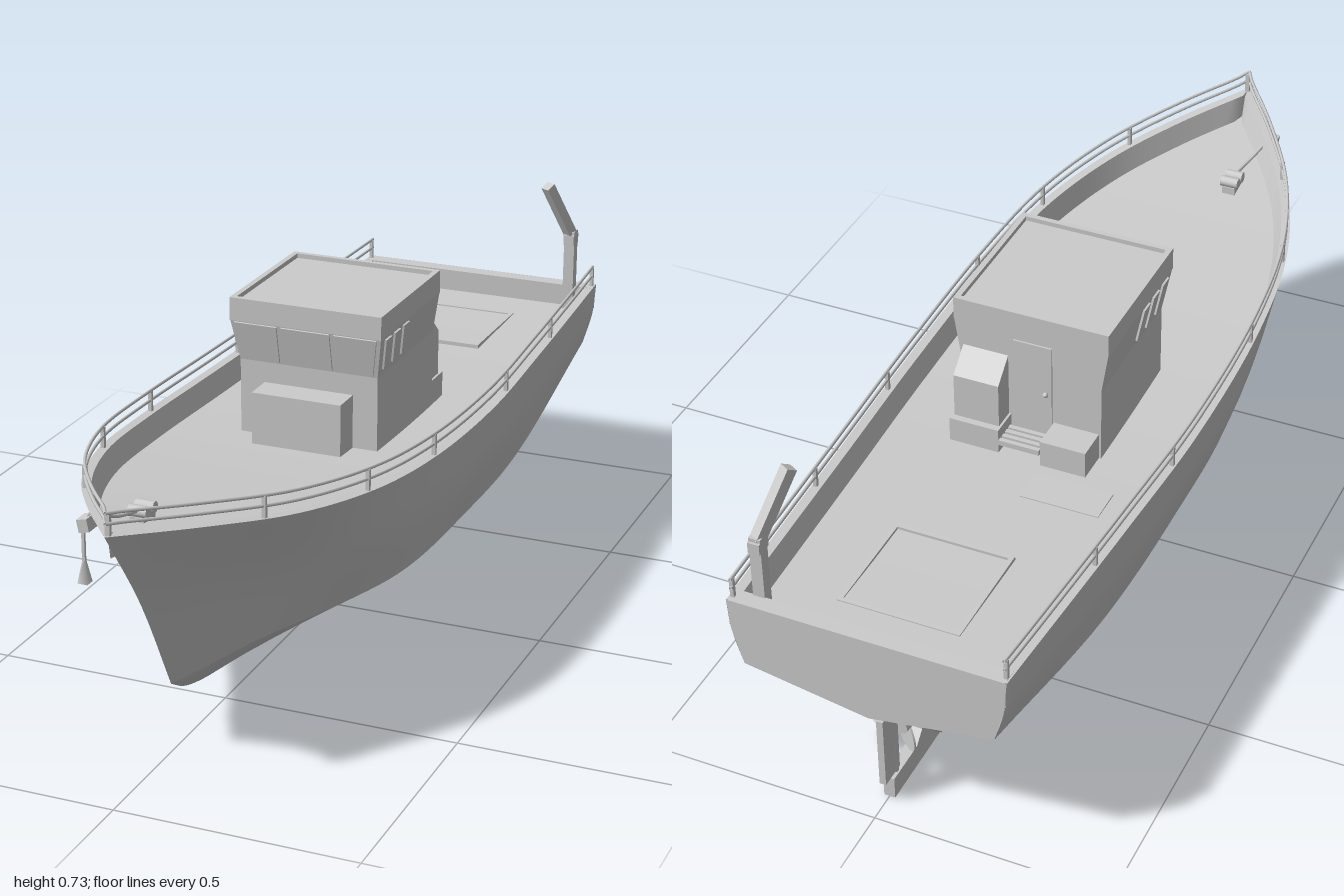
import * as THREE from 'three';

const mat = new THREE.MeshStandardMaterial({ color: 0xcccccc, side: THREE.DoubleSide });
const V = (x, y, z) => new THREE.Vector3(x, y, z);
const curve = (pts) => new THREE.CatmullRomCurve3(pts.map((p) => V(...p)));

// Long hull lines, stern to bow
const sheer = curve([[.29, .465, -1], [.315, .453, -.5], [.33, .45, -.15], [.325, .465, .2], [.295, .487, .45], [.225, .51, .66], [.125, .535, .83], [0, .56, 1]]);
const side = curve([[.283, .39, -1], [.302, .335, -.5], [.317, .335, -.15], [.305, .34, .2], [.257, .345, .43], [.168, .36, .6], [.085, .375, .745], [0, .37, .865]]);
const chine = curve([[.262, .315, -1], [.27, .21, -.5], [.275, .203, -.15], [.262, .206, .2], [.2, .208, .42], [.115, .195, .58], [.05, .17, .68], [0, .15, .745]]);
const keel = curve([[0, .27, -1], [0, .1, -.5], [0, .035, -.15], [0, .045, .2], [0, .068, .42], [0, .095, .6], [0, .12, .69], [0, .15, .745]]);
const N = 48;

// Sheer point moved inboard by d and raised by h
function inboard(t, d, h) {
  const p = sheer.getPoint(t), g = sheer.getTangent(t);
  const n = V(g.z, 0, -g.x).normalize();
  return V(Math.max(0, p.x - n.x * d), p.y + h, Math.max(p.z - n.z * d, -1 + d));
}

function mesh(parent, name, geo, x = 0, y = 0, z = 0) {
  const m = new THREE.Mesh(geo, mat);
  m.name = name;
  m.position.set(x, y, z);
  parent.add(m);
  return m;
}
const box = (parent, name, w, h, d, x, y, z) => mesh(parent, name, new THREE.BoxGeometry(w, h, d), x, y, z);

// Skin over cross-sections; section(t) returns a row of points
function loft(section) {
  const pos = [], idx = [];
  let cols = 0;
  for (let i = 0; i <= N; i++) {
    const row = section(i / N);
    cols = row.length;
    row.forEach((p) => pos.push(p.x, p.y, p.z));
  }
  for (let i = 0; i < N; i++) for (let j = 0; j < cols - 1; j++) {
    const a = i * cols + j, b = a + cols;
    idx.push(a, a + 1, b, b, a + 1, b + 1);
  }
  const g = new THREE.BufferGeometry();
  g.setAttribute('position', new THREE.Float32BufferAttribute(pos, 3));
  g.setIndex(idx);
  g.computeVertexNormals();
  return g;
}

function beam(parent, name, a, b, w) {
  const m = box(parent, name, w, w, a.distanceTo(b), 0, 0, 0);
  m.position.copy(a).lerp(b, .5);
  m.lookAt(b);
  return m;
}
const tube = (parent, name, pts, r, seg = 48) =>
  mesh(parent, name, new THREE.TubeGeometry(new THREE.CatmullRomCurve3(pts), seg, r, 6));

function polygon(pts, depth) {
  const s = new THREE.Shape(pts.map((p) => new THREE.Vector2(...p)));
  return depth ? new THREE.ExtrudeGeometry(s, { depth, bevelEnabled: false }) : new THREE.ShapeGeometry(s);
}
// Profile drawn in (z, y), given width across x, centred at x
function profile(parent, name, pts, w, x = 0) {
  const g = polygon(pts, w).translate(0, 0, -w / 2).rotateY(-Math.PI / 2);
  return mesh(parent, name, g, x);
}
// Rectangular frame lying flat
function frame(parent, name, w, d, t, h, x, y, z) {
  const s = new THREE.Shape([[-1, -1], [1, -1], [1, 1], [-1, 1]].map(([a, b]) => new THREE.Vector2(a * w / 2, b * d / 2)));
  s.holes.push(new THREE.Path([[-1, -1], [-1, 1], [1, 1], [1, -1]].map(([a, b]) => new THREE.Vector2(a * (w / 2 - t), b * (d / 2 - t)))));
  const g = new THREE.ExtrudeGeometry(s, { depth: h, bevelEnabled: false }).rotateX(-Math.PI / 2);
  return mesh(parent, name, g, x, y, z);
}

function buildHull(root) {
  const hull = new THREE.Group();
  hull.name = 'hull';
  root.add(hull);
  const parts = {
    hullSide: (t) => new THREE.CatmullRomCurve3([chine, side, sheer].map((c) => c.getPoint(t))).getPoints(8),
    hullBottom: (t) => [0, .25, .5, .75, 1].map((k) => keel.getPoint(t).lerp(chine.getPoint(t), k)),
    bulwarkCap: (t) => [sheer.getPoint(t), inboard(t, .02, 0)],
    bulwarkInside: (t) => [inboard(t, .02, 0), inboard(t, .035, -.05)],
  };
  for (const [name, section] of Object.entries(parts)) {
    const g = loft(section);
    mesh(hull, name + 'Left', g);
    mesh(hull, name + 'Right', g).scale.x = -1;
  }
  mesh(hull, 'deck', loft((t) => {
    const p = inboard(t, .035, -.05);
    return [p, V(0, p.y, p.z), V(-p.x, p.y, p.z)];
  }));
  // Flat stern
  const half = [[.262, .315], [.283, .39], [.29, .465]];
  mesh(hull, 'transom', polygon([[0, .27], ...half, ...half.map(([x, y]) => [-x, y]).reverse()]), 0, 0, -1);
  box(hull, 'sternBulwark', .574, .06, .035, 0, .435, -.982);
  profile(hull, 'skeg', [[-.25, .045], [-.28, .035], [-.34, .005], [-.935, .005], [-.935, .055], [-.835, .055],
    [-.81, .08], [-.81, .215], [-.5, .12]], .024);
}

function buildRails(root) {
  const rails = new THREE.Group();
  rails.name = 'railings';
  root.add(rails);
  const atZ = (z) => {
    let a = 0, b = 1;
    for (let i = 0; i < 30; i++) {
      const m = (a + b) / 2;
      if (sheer.getPoint(m).z < z) a = m; else b = m;
    }
    return a;
  };
  for (const s of [1, -1]) {
    const at = (t, h) => { const p = inboard(t, .008, h); p.x *= s; return p; };
    for (const h of [.024, .045])
      tube(rails, h > .03 ? 'topRail' : 'middleRail', Array.from({ length: 33 }, (_, i) => at(i / 32, h)), .0035, 64);
    for (const z of [.99, .72, .45, .17, -.27, -.62, -.985])
      beam(rails, 'railPost', at(atZ(z), -.005), at(atZ(z), .045), .008);
  }
}

function buildCabin(root) {
  const cabin = new THREE.Group();
  cabin.name = 'cabin';
  root.add(cabin);
  box(cabin, 'cabinWalls', .31, .18, .32, 0, .48, -.09);
  // Window band flares outward to the roof
  const band = new THREE.BoxGeometry(.31, .095, .32);
  const p = band.attributes.position;
  for (let i = 0; i < p.count; i++) if (p.getY(i) > 0) {
    p.setX(i, p.getX(i) * .17 / .155);
    if (p.getZ(i) > 0) p.setZ(i, .18);
  }
  band.computeVertexNormals();
  mesh(cabin, 'windowBand', band, 0, .6175, -.09);
  box(cabin, 'roof', .335, .04, .335, 0, .68, -.08);
  frame(cabin, 'roofRim', .34, .34, .012, .05, 0, .66, -.08);
  // Front panes lean with the wall
  const front = new THREE.Group();
  front.name = 'frontWindows';
  front.position.set(0, .57, .07);
  front.rotation.x = Math.atan(.02 / .095);
  cabin.add(front);
  mesh(front, 'centrePane', polygon([[-.055, .004], [.055, .004], [.055, .09], [-.055, .09]], .004));
  for (const s of [1, -1])
    mesh(front, 'sidePane', polygon([[s * .064, .004], [s * .146, .004], [s * .16, .09], [s * .064, .09]], .004));
  // Slanted side panes
  for (const s of [1, -1]) {
    const row = new THREE.Group();
    row.name = 'sideWindows';
    row.position.set(s * .156, .57, 0);
    row.rotation.z = -s * Math.atan(.015 / .095);
    cabin.add(row);
    for (const z of [.02, -.03, -.08])
      profile(row, 'sidePane', [[z, .015], [z + .032, .015], [z + .045, .085], [z + .013, .085]], .007);
  }
  // Fittings around the cabin
  box(cabin, 'frontLocker', .2, .12, .075, 0, .465, .1);
  profile(cabin, 'rearLocker', [[-.25, .39], [-.3, .39], [-.3, .555], [-.25, .6]], .1, .1);
  box(cabin, 'rearLockerBase', .11, .06, .065, .1, .425, -.2825);
  box(cabin, 'rearBench', .1, .065, .07, -.1, .4275, -.285);
  box(cabin, 'door', .085, .22, .006, -.005, .535, -.251);
  mesh(cabin, 'doorKnob', new THREE.SphereGeometry(.006, 10, 8), -.035, .53, -.257);
  for (let i = 0; i < 4; i++) box(cabin, 'stepSlat', .09, .012, .01, 0, .425, -.262 - i * .016);
}

function buildDeckGear(root) {
  const gear = new THREE.Group();
  gear.name = 'deckGear';
  root.add(gear);
  // Cargo hatch
  frame(gear, 'hatchFrame', .26, .25, .01, .012, 0, .402, -.74);
  box(gear, 'hatchCover', .24, .01, .23, 0, .403, -.74);
  box(gear, 'deckPlate', .17, .006, .08, -.14, .401, -.39);
  // Bent mast at the stern
  beam(gear, 'mastPost', V(.237, .405, -.955), V(.237, .605, -.955), .025);
  beam(gear, 'mastArm', V(.237, .595, -.955), V(.199, .728, -.885), .023);
  box(gear, 'mastBracket', .025, .024, .035, .237, .585, -.955);
  // Windlass, chain and hanging anchor
  box(gear, 'windlassBase', .03, .02, .05, -.07, .473, .71);
  for (const z of [.695, .725])
    mesh(gear, 'windlassDrum', new THREE.CylinderGeometry(.012, .012, .04, 12).rotateZ(Math.PI / 2), -.07, .492, z);
  tube(gear, 'anchorChain', [V(-.07, .495, .73), V(-.085, .505, .79), V(-.108, .53, .85), V(-.11, .52, .87)], .004, 20);
  box(gear, 'anchorRoller', .022, .026, .035, -.11, .515, .86).rotation.z = .2;
  beam(gear, 'anchorShank', V(-.11, .51, .875), V(-.11, .43, .875), .006);
  mesh(gear, 'anchorFluke', new THREE.CylinderGeometry(.004, .015, .046, 4, 1).rotateY(Math.PI / 4), -.11, .423, .875);
}

function buildDrive(root) {
  const drive = new THREE.Group();
  drive.name = 'drive';
  root.add(drive);
  const prop = new THREE.Group();
  prop.name = 'propeller';
  prop.position.set(0, .135, -.85);
  drive.add(prop);
  mesh(prop, 'hub', new THREE.CylinderGeometry(.018, .014, .05, 16).rotateX(Math.PI / 2));
  mesh(prop, 'shaft', new THREE.CylinderGeometry(.009, .016, .06, 12).rotateX(Math.PI / 2), 0, 0, .045);
  const blade = new THREE.Shape();
  blade.moveTo(-.008, .01);
  blade.bezierCurveTo(-.045, .04, -.035, .075, 0, .075);
  blade.bezierCurveTo(.035, .075, .035, .04, .008, .01);
  const bladeGeo = new THREE.ExtrudeGeometry(blade, { depth: .004, bevelEnabled: false }).rotateY(.6);
  for (let i = 0; i < 4; i++) mesh(prop, 'blade', bladeGeo).rotation.z = i * Math.PI / 2;
  // Rudder with its stock
  profile(drive, 'rudder', [[-.9, .06], [-.96, .06], [-.96, .225], [-.9, .225]], .014);
  mesh(drive, 'rudderStock', new THREE.CylinderGeometry(.009, .009, .22, 12), 0, .155, -.91);
}

export function createModel() {
  const root = new THREE.Group();
  root.name = 'boat';
  buildHull(root);
  buildRails(root);
  buildCabin(root);
  buildDeckGear(root);
  buildDrive(root);
  return root;
}
